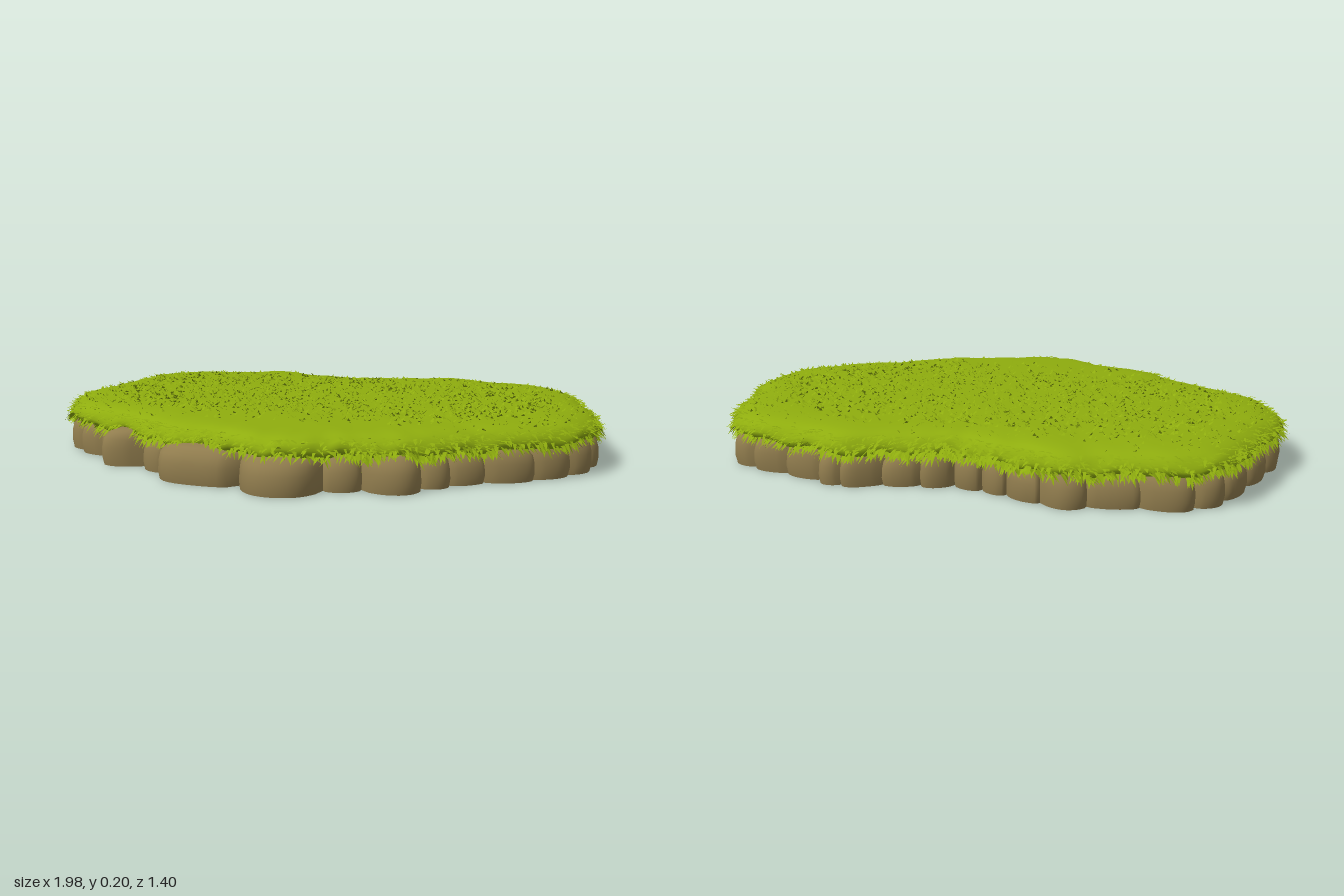
import * as THREE from 'three';
import { mergeVertices } from 'three/addons/utils/BufferGeometryUtils.js';

// Turf outline as x, z pairs, running round the island from the front tip
const OUTLINE = [
  [0, 0.66], [0.08, 0.65], [0.15, 0.61], [0.25, 0.575], [0.4, 0.53], [0.5, 0.465], [0.62, 0.38], [0.8, 0.28],
  [0.9, 0.19], [0.95, 0.1], [0.97, -0.03], [0.93, -0.2], [0.89, -0.38], [0.84, -0.5], [0.75, -0.58],
  [0.63, -0.61], [0.5, -0.64], [0.37, -0.68], [0.25, -0.64], [0.12, -0.61], [0, -0.58],
  [-0.12, -0.61], [-0.25, -0.64], [-0.37, -0.68], [-0.5, -0.64], [-0.63, -0.61], [-0.75, -0.58],
  [-0.84, -0.5], [-0.89, -0.38], [-0.93, -0.2], [-0.97, -0.03], [-0.93, 0.14], [-0.85, 0.24],
  [-0.72, 0.32], [-0.6, 0.38], [-0.5, 0.46], [-0.4, 0.53], [-0.25, 0.56], [-0.15, 0.61], [-0.08, 0.65],
];
// Turf section: fraction of the outline radius, height
const SECTION = [
  [0.86, 0.105], [0.95, 0.102], [0.985, 0.112], [0.995, 0.13], [0.98, 0.152], [0.95, 0.17],
  [0.9, 0.181], [0.8, 0.187], [0.6, 0.19], [0.3, 0.191], [0, 0.191],
];
const DEG = Math.PI / 180;

function seeded(seed) {
  return () => {
    seed = (seed * 16807) % 2147483647;
    return seed / 2147483647;
  };
}

// Outline radius looked up by angle (0 = front, positive towards +x)
function makeRadius() {
  const curve = new THREE.CatmullRomCurve3(OUTLINE.map(([x, z]) => new THREE.Vector3(x, 0, z)), true);
  const table = new Float32Array(720);
  const pts = curve.getPoints(6000);
  for (const p of pts) {
    const k = Math.round(Math.atan2(p.x, p.z) / DEG * 2 + 720) % 720;
    table[k] = Math.hypot(p.x, p.z);
  }
  return (a) => {
    const f = ((a / DEG * 2) % 720 + 720) % 720, i = Math.floor(f);
    return THREE.MathUtils.lerp(table[i], table[(i + 1) % 720], f - i);
  };
}

// Sheet bent by a rule (u across, v up, facing outwards), with smooth normals
function sheet(nu, nv, rule) {
  const g = new THREE.PlaneGeometry(1, 1, nu, nv);
  const { position, uv } = g.attributes;
  for (let i = 0; i < position.count; i++) position.setXYZ(i, ...rule(uv.getX(i), uv.getY(i)));
  g.deleteAttribute('uv');
  g.deleteAttribute('normal');
  const merged = mergeVertices(g, 1e-5);
  merged.computeVertexNormals();
  return merged;
}

function turfPoint(radius, a, k) {
  const i = Math.min(Math.floor(k), SECTION.length - 2), t = k - i;
  const s = THREE.MathUtils.lerp(SECTION[i][0], SECTION[i + 1][0], t);
  const y = THREE.MathUtils.lerp(SECTION[i][1], SECTION[i + 1][1], t);
  const r = radius(a) * s;
  const x = r * Math.sin(a), z = r * Math.cos(a);
  const rim = Math.max(0, (s - 0.8) / 0.2);
  const wave = rim * (0.006 * Math.sin(a * 23) + 0.004 * Math.sin(a * 41 + 1) + 0.012 * Math.max(0, Math.cos(a)) ** 6);
  const roll = 0.0015 * Math.sin(x * 17 + 1) * Math.sin(z * 19);
  return [x, y + (y < 0.16 ? wave : wave * 0.3) + roll, z];
}

// Grass blades as single triangles: base point, heading, rise, length, width
function bladeGeometry(blades) {
  const pos = [];
  for (const { p, heading, rise, length, width } of blades) {
    const dx = Math.sin(heading), dz = Math.cos(heading);
    const w = width / 2;
    pos.push(
      p[0] + dz * w, p[1], p[2] - dx * w,
      p[0] - dz * w, p[1], p[2] + dx * w,
      p[0] + dx * length, p[1] + rise, p[2] + dz * length,
    );
  }
  const g = new THREE.BufferGeometry();
  g.setAttribute('position', new THREE.Float32BufferAttribute(pos, 3));
  g.computeVertexNormals();
  return g;
}

export function createModel() {
  const island = new THREE.Group();
  island.name = 'island';
  const grass = new THREE.MeshStandardMaterial({ color: 0x8fad0e });
  grass.name = 'grass green';
  grass.side = THREE.DoubleSide;
  const rock = new THREE.MeshStandardMaterial({ color: 0x917d4e });
  rock.name = 'rock brown';
  rock.side = THREE.DoubleSide;

  const add = (name, geometry, material, parent = island) => {
    const mesh = new THREE.Mesh(geometry, material);
    mesh.name = name;
    parent.add(mesh);
    return mesh;
  };
  const radius = makeRadius();
  const rand = seeded(4711);

  // Turf cap
  const last = SECTION.length - 1;
  add('turf', sheet(240, last * 2, (u, v) => turfPoint(radius, (u * 2 - 1) * Math.PI, v * last)), grass);

  // Blades hanging over the rim
  const fringe = [];
  for (let i = 0; i < 3600; i++) {
    const a = (i / 3600 * 2 - 1) * Math.PI;
    if (Math.abs(a) < 0.35 && rand() < 0.6) continue;
    const k = 1.2 + rand() * 3.8;
    fringe.push({
      p: turfPoint(radius, a, k),
      heading: a + (rand() - 0.5) * 1.8,
      rise: (k < 3 ? -0.022 : -0.004) + (rand() - 0.5) * 0.024,
      length: 0.014 + rand() * 0.018,
      width: 0.01 + rand() * 0.008,
    });
  }
  add('fringeBlades', bladeGeometry(fringe), grass);

  // Blades scattered over the top, thinning out at front and back
  const lawn = [];
  while (lawn.length < 4200) {
    const x = (rand() * 2 - 1) * 0.95, z = rand() * 1.15 - 0.6;
    const a = Math.atan2(x, z), s = Math.hypot(x, z) / radius(a);
    if (s > 0.94 || rand() < Math.max(0, z - 0.2) * 4 || rand() < Math.max(0, -0.4 - z) * 5) continue;
    const y = s < 0.8 ? 0.19 : 0.187 - (s - 0.8) * 0.1;
    lawn.push({
      p: [x, y - 0.002, z],
      heading: rand() * Math.PI * 2,
      rise: 0.004 + rand() * 0.009,
      length: 0.006 + rand() * 0.016,
      width: 0.008 + rand() * 0.008,
    });
  }
  add('lawnBlades', bladeGeometry(lawn), grass);

  // Boulders: start angle in degrees and outward bulge; the large front ones are set by hand
  const stones = [[-64, 0.115], [-54, 0.04], [-43, 0.1], [-14, 0.075], [13, 0.035], [25, 0.075], [42, 0.035]];
  for (let d = 51; d < 291; d += 6 + rand() * 4.5) stones.push([d, 0.025 + rand() * 0.016]);
  stones.push([296, 0]);
  const boulders = new THREE.Group();
  boulders.name = 'boulders';
  island.add(boulders);
  const foot = [];
  // Boulder section: inset from the face, height
  const profile = [[0.004, 0], [-0.002, 0.03], [0, 0.065], [0.008, 0.095], [0.03, 0.117], [0.07, 0.128], [0.14, 0.125]];
  for (let n = 0; n < stones.length - 1; n++) {
    const [start, bulge] = stones[n], end = stones[n + 1][0];
    const tall = bulge > 0.06 ? 1.0 : 0.92 + rand() * 0.12;
    const lean = (rand() - 0.5) * 0.012;
    const cols = 12;
    const point = (u, j) => {
      const a = THREE.MathUtils.lerp(start, end, u) * DEG;
      const e = Math.sin(Math.PI * u) ** 0.55;
      const [inset, h] = profile[j];
      const r = radius(a) - 0.042 + bulge * e - inset + lean * e * h * 8;
      return [r * Math.sin(a), h * tall * (0.86 + 0.14 * e), r * Math.cos(a)];
    };
    add('boulder', sheet(cols, profile.length - 1, (u, v) => point(u, Math.round(v * (profile.length - 1)))), rock, boulders);
    for (let i = 0; i < cols; i++) {
      const p = point(i / cols, 0);
      foot.push(new THREE.Vector2(p[0], p[2]));
    }
  }

  // Flat underside with an opening filled by turf
  const patch = [];
  for (let i = 0; i < 40; i++) {
    const a = i / 40 * Math.PI * 2, r = 0.35 + 0.015 * Math.sin(a * 3) + 0.01 * Math.sin(a * 5 + 1);
    patch.push(new THREE.Vector2(-0.03 + r * Math.cos(a), 0.08 + r * Math.sin(a)));
  }
  const base = new THREE.Shape(foot);
  base.holes.push(new THREE.Path(patch));
  add('underside', new THREE.ShapeGeometry(base).rotateX(Math.PI / 2), rock);
  add('undersideTurf', new THREE.ShapeGeometry(new THREE.Shape(patch)).rotateX(Math.PI / 2), grass);

  return island;
}
